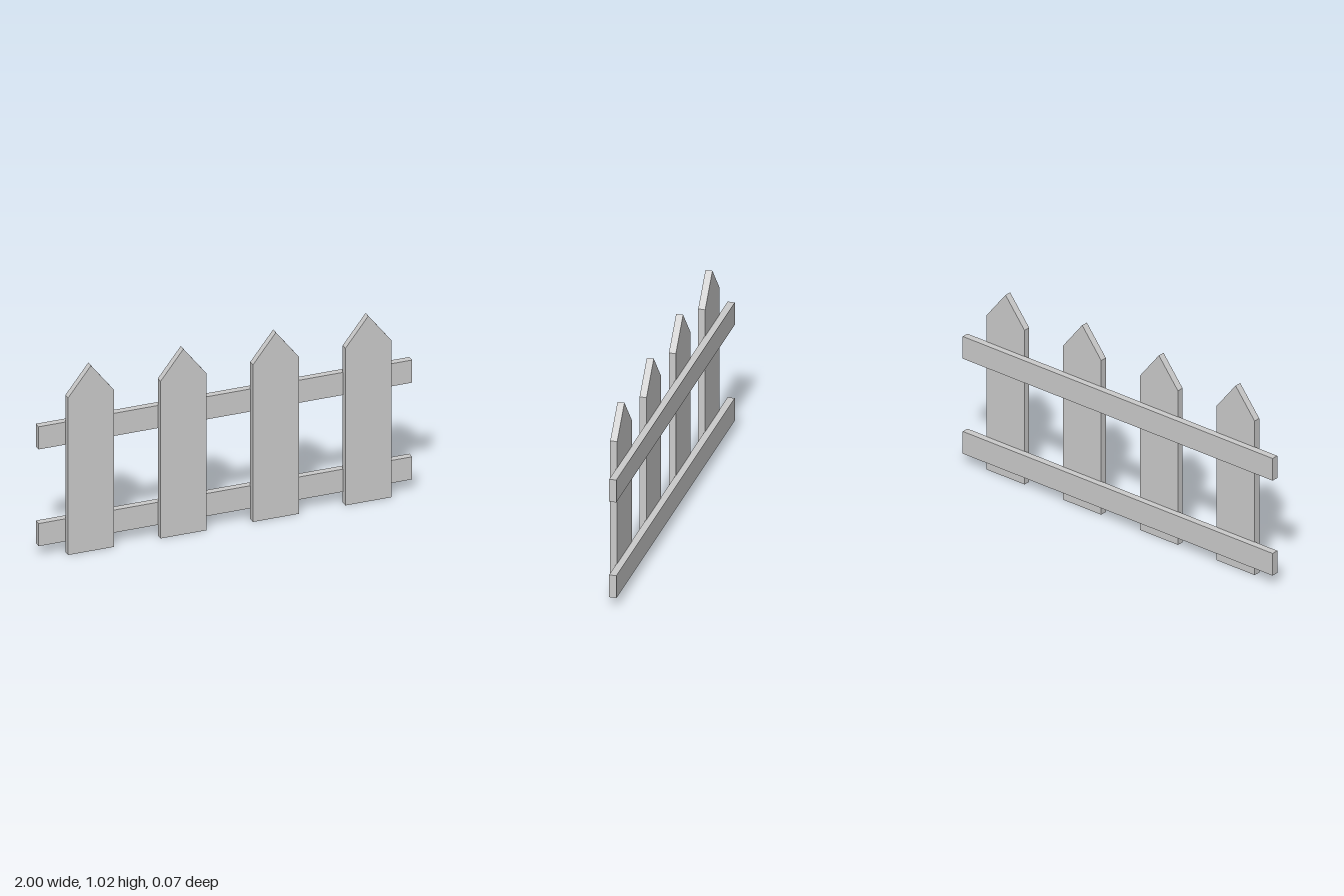
import * as THREE from 'three';

const material = new THREE.MeshStandardMaterial({ color: 0xcccccc, flatShading: true });

export function createModel() {
  const fence = new THREE.Group();
  fence.name = 'fence';

  // Pointed pickets at the front
  const half = 0.123, shoulder = 0.868, peak = 1.025;
  const outline = new THREE.Shape([
    new THREE.Vector2(-half, 0),
    new THREE.Vector2(half, 0),
    new THREE.Vector2(half, shoulder),
    new THREE.Vector2(0, peak),
    new THREE.Vector2(-half, shoulder),
  ]);
  const picketGeometry = new THREE.ExtrudeGeometry(outline, { depth: 0.036, bevelEnabled: false });
  for (let i = 0; i < 4; i++) {
    const picket = new THREE.Mesh(picketGeometry, material);
    picket.name = `picket${i + 1}`;
    picket.position.set(-0.733 + i * 0.495, 0, -0.001);
    fence.add(picket);
  }

  // Horizontal rails, set slightly into the backs of the pickets
  const railGeometry = new THREE.BoxGeometry(2, 0.125, 0.037);
  for (const [name, y] of [['lowerRail', 0.123], ['upperRail', 0.658]]) {
    const rail = new THREE.Mesh(railGeometry, material);
    rail.name = name;
    rail.position.set(0, y, -0.0165);
    fence.add(rail);
  }

  return fence;
}
